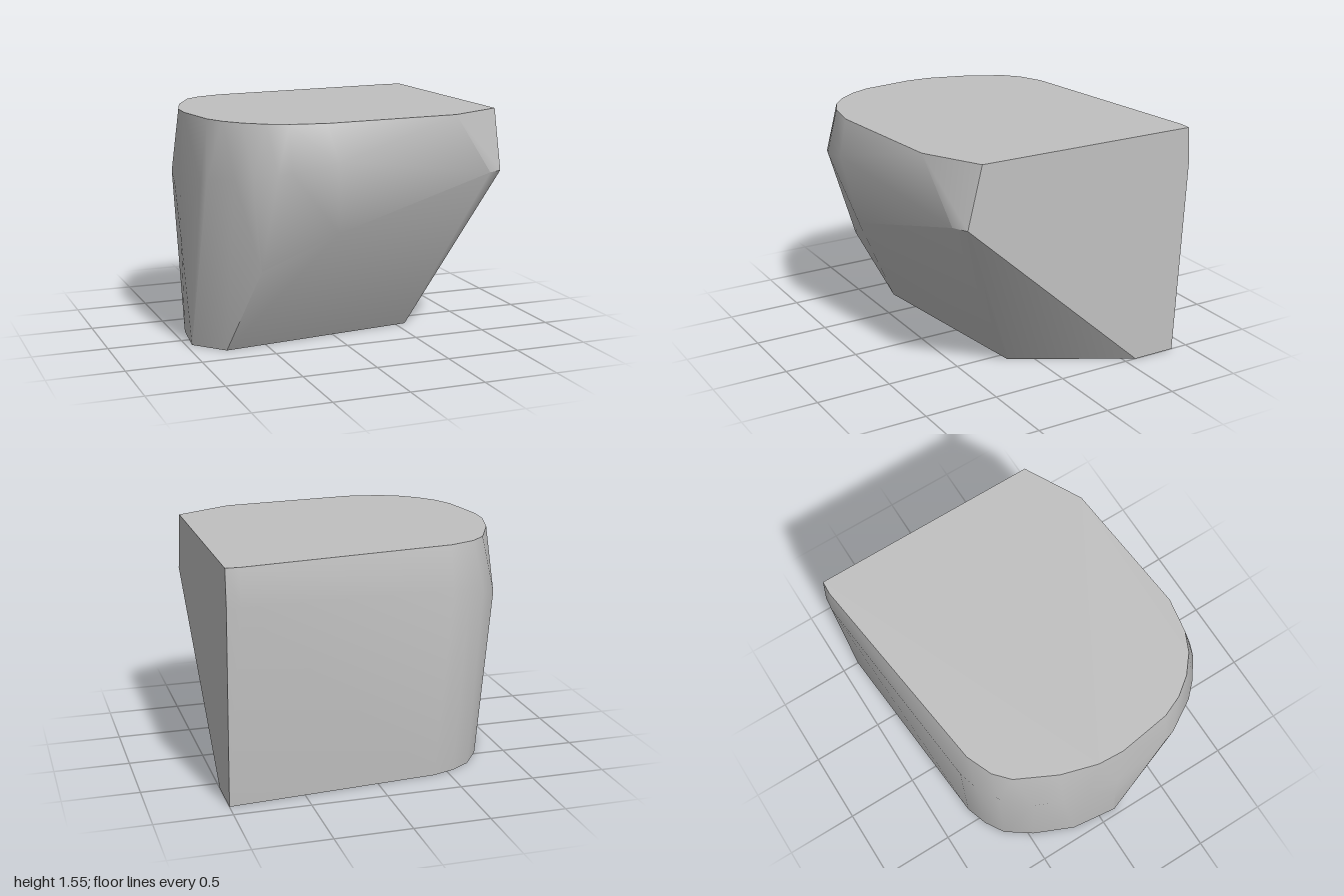
import * as THREE from 'three';
import { ConvexGeometry } from 'three/addons/geometries/ConvexGeometry.js';
import { toCreasedNormals } from 'three/addons/utils/BufferGeometryUtils.js';

// Flat top outline at y = 1.55, as [x, z]
const TOP = [
  [1, -0.93], [0.91, -0.935], [-0.49, -0.76], [-0.66, -0.69], [-0.76, -0.6],
  [-0.89, -0.34], [-0.96, -0.1], [-0.97, 0.07], [-0.92, 0.42], [-0.86, 0.56],
  [-0.77, 0.68], [-0.65, 0.78], [-0.52, 0.84], [-0.29, 0.88], [0.62, 0.8], [1, 0.6],
];

// Widest belt, as [x, y, z]
const BELT = [
  [1, 1.31, -0.945], [0.91, 1.31, -0.955], [-0.49, 1.28, -0.82], [-0.61, 1.25, -0.78],
  [-0.74, 1.2, -0.69], [-0.88, 1.15, -0.52], [-0.95, 1.1, -0.34], [-0.98, 1.05, -0.16],
  [-1, 1.0, 0.05], [-1, 0.7, 0.05], [-0.97, 1.15, 0.43], [-0.95, 1.18, 0.5],
  [-0.83, 1.2, 0.7], [-0.74, 1.22, 0.79], [-0.61, 1.25, 0.88], [-0.53, 1.26, 0.91],
  [-0.24, 1.32, 0.95], [0.9, 1.15, 0.75], [1, 1.15, 0.7],
];

// Bulge of the undercut front
const FRONT = [[-0.2, 0.85, 0.85], [-0.65, 0.6, 0.67]];

// Flat base outline at y = 0, as [x, z]
const BASE = [
  [1, -0.88], [1, -0.58], [0.57, 0.16], [-0.78, 0.32], [-0.96, 0.12], [-0.92, -0.2],
  [-0.8, -0.47], [-0.68, -0.64], [-0.55, -0.72], [-0.4, -0.77],
];

export function createModel() {
  const grey = new THREE.MeshStandardMaterial({ color: 0xc0c0c0 });
  grey.name = 'plain grey';

  const points = [
    ...TOP.map(([x, z]) => [x, 1.55, z]),
    ...BELT,
    ...FRONT,
    ...BASE.map(([x, z]) => [x, 0, z]),
  ].map((p) => new THREE.Vector3(...p));

  // Faceted shell, smooth around the sides and sharp at the flat cuts
  const shell = toCreasedNormals(new ConvexGeometry(points), THREE.MathUtils.degToRad(38));
  const block = new THREE.Mesh(shell, grey);
  block.name = 'block';

  const model = new THREE.Group();
  model.name = 'roundedBlock';
  model.add(block);
  return model;
}
